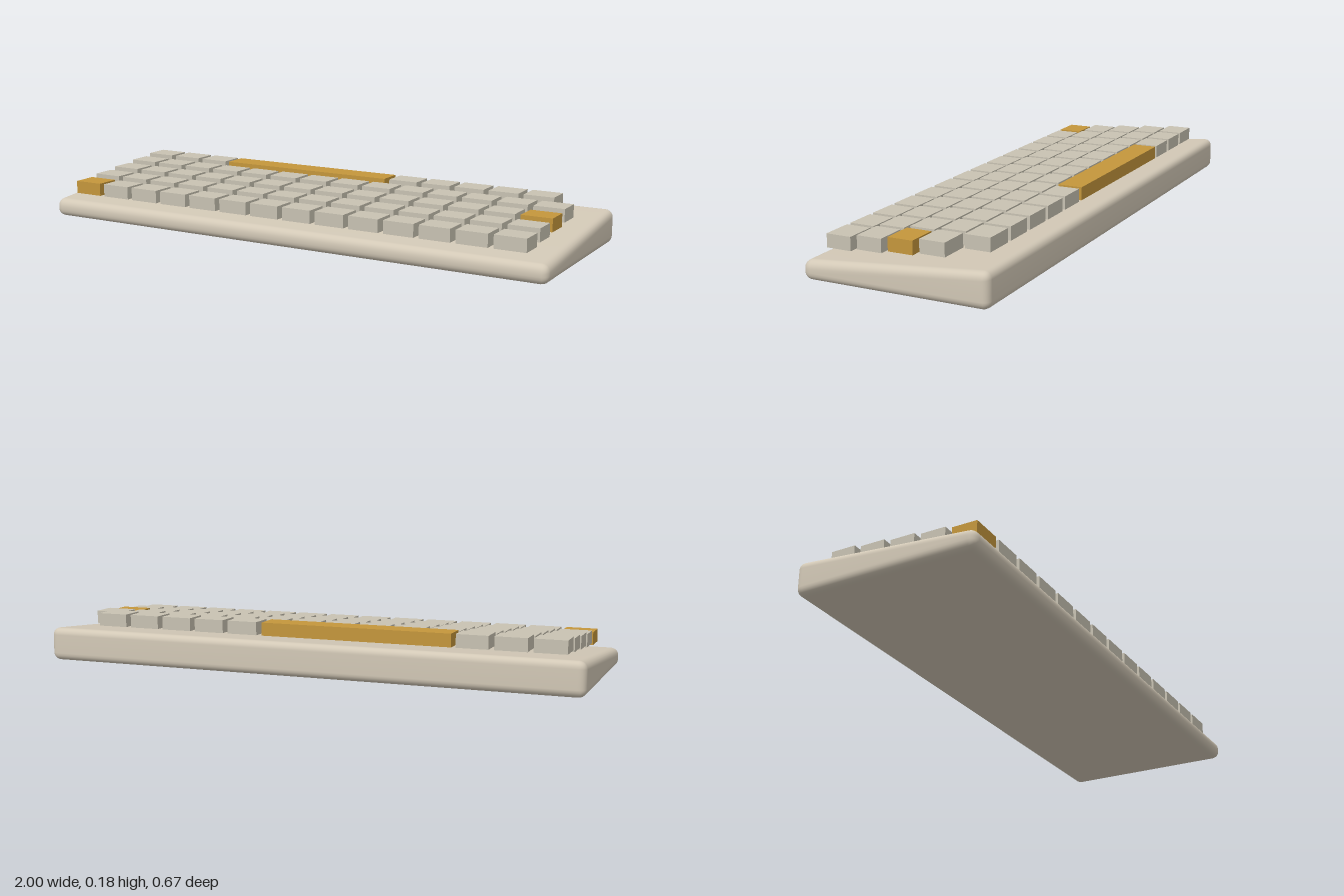
import * as THREE from 'three';
import { RoundedBoxGeometry } from 'three/addons/geometries/RoundedBoxGeometry.js';
import { mergeVertices } from 'three/addons/utils/BufferGeometryUtils.js';

const caseBeige = new THREE.MeshStandardMaterial({ color: 0xd2c8b6 });
caseBeige.name = 'caseBeige';
const keyGrey = new THREE.MeshStandardMaterial({ color: 0xc8c2b2 });
keyGrey.name = 'keyGrey';
const accentGold = new THREE.MeshStandardMaterial({ color: 0xc4963c });
accentGold.name = 'accentGold';

const PITCH_X = 0.1328, PITCH_Z = 0.1145, RISE = 0.0096;
const KEY_W = 0.113, KEY_H = 0.047, KEY_D = 0.09;

// Rounded slab whose top half is sheared into a wedge, rising to the back
function caseGeometry() {
  const rounded = new RoundedBoxGeometry(2, 0.095, 0.667, 3, 0.028);
  rounded.deleteAttribute('normal');
  rounded.deleteAttribute('uv');
  rounded.clearGroups();
  const geometry = mergeVertices(rounded);
  const p = geometry.attributes.position;
  for (let i = 0; i < p.count; i++) {
    const y = p.getY(i);
    p.setY(i, y + 0.0475 - (y > 0 ? 0.087 * p.getZ(i) : 0));
  }
  geometry.computeVertexNormals();
  return geometry;
}

export function createModel() {
  const keyboard = new THREE.Group();
  keyboard.name = 'keyboard';

  const body = new THREE.Mesh(caseGeometry(), caseBeige);
  body.name = 'case';
  keyboard.add(body);

  // Keys, row 0 at the front and row 4 at the back
  const keys = new THREE.Group();
  keys.name = 'keys';
  keyboard.add(keys);
  const keyGeometry = new THREE.BoxGeometry(KEY_W, KEY_H, KEY_D);
  const addKey = (name, geometry, material, x, row) => {
    const key = new THREE.Mesh(geometry, material);
    key.name = name;
    key.position.set(x, 0.1135 + row * RISE, 0.249 - row * PITCH_Z);
    keys.add(key);
  };

  for (let row = 0; row < 4; row++) {
    for (let col = 0; col < 14; col++) {
      const accent = (row === 0 && col === 0) || (row === 2 && col === 13);
      addKey(accent ? 'accentKey' : 'key', keyGeometry, accent ? accentGold : keyGrey,
        -0.868 + col * PITCH_X, row);
    }
  }

  // Back row: three keys, the long bar, five keys
  for (let i = 0; i < 3; i++) addKey('key', keyGeometry, keyGrey, -0.868 + i * PITCH_X, 4);
  addKey('spaceBar', new THREE.BoxGeometry(0.7, KEY_H, KEY_D), accentGold, -0.18, 4);
  for (let i = 0; i < 5; i++) addKey('key', keyGeometry, keyGrey, 0.247 + i * PITCH_X, 4);

  return keyboard;
}
